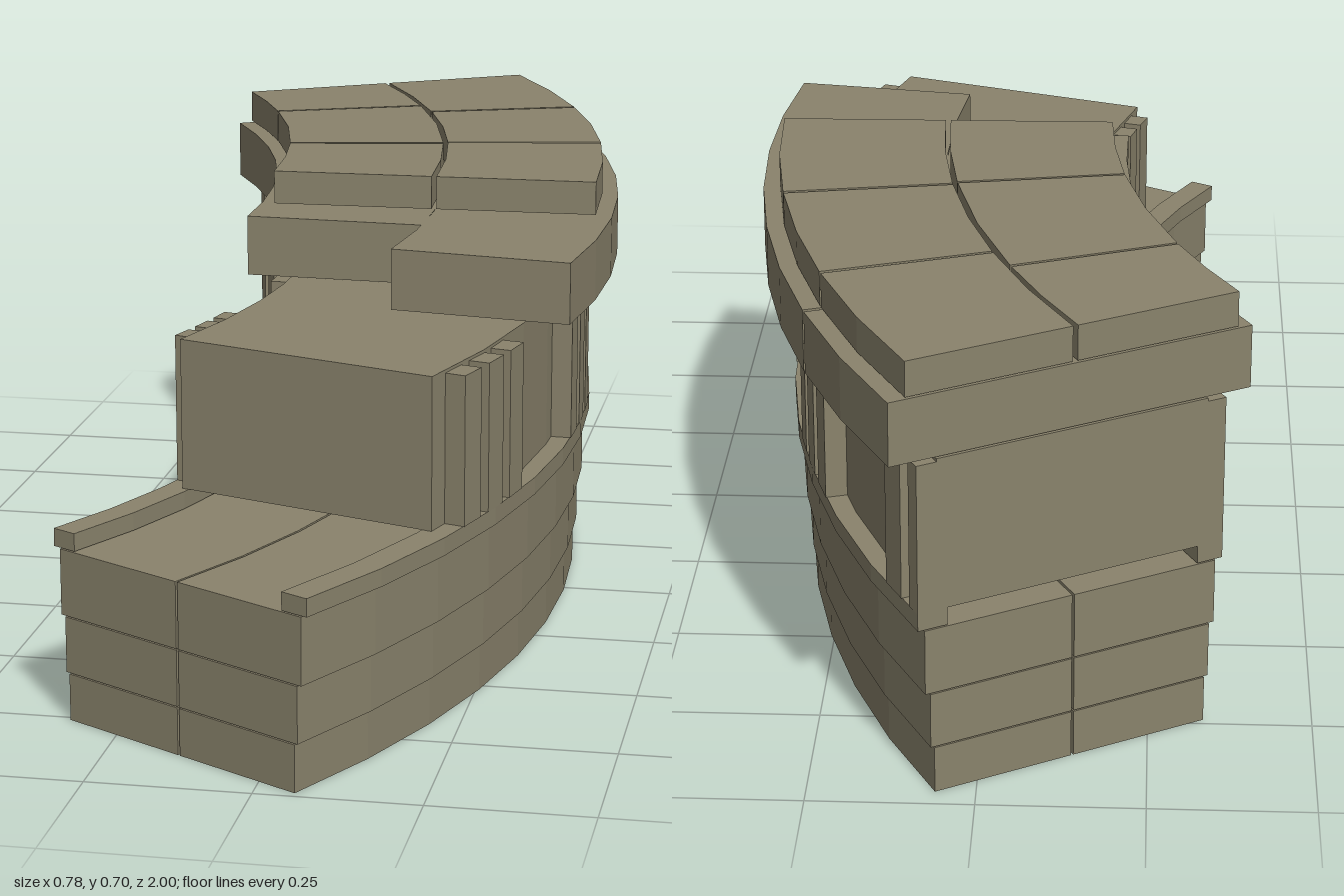
import * as THREE from 'three';

// Centre of curvature of the whole piece
const CX = -1.632, CZ = 0.011;
const SPLIT = 1.726; // radius of the joint between the inner and outer rows
const JOINT = 0.003; // half width of the long joint
const STEP = 5; // degrees per facet
const rad = THREE.MathUtils.degToRad;

const stone = new THREE.MeshStandardMaterial({ color: 0x8a836c, flatShading: true });
stone.name = 'drab stone';

// Curved block between two radii, two angles (degrees, front positive) and two heights
function arcBlock(parent, name, r0, r1, a0, a1, y0, y1) {
  const n = Math.max(1, Math.round((a1 - a0) / STEP));
  const at = (r, a) => new THREE.Vector2(CX + r * Math.cos(rad(a)), -(CZ + r * Math.sin(rad(a))));
  const points = [];
  for (let i = 0; i <= n; i++) points.push(at(r1, a0 + ((a1 - a0) * i) / n));
  for (let i = n; i >= 0; i--) points.push(at(r0, a0 + ((a1 - a0) * i) / n));
  const geometry = new THREE.ExtrudeGeometry(new THREE.Shape(points), { depth: y1 - y0, bevelEnabled: false });
  geometry.rotateX(-Math.PI / 2).translate(0, y0, 0);
  const mesh = new THREE.Mesh(geometry, stone);
  mesh.name = name;
  parent.add(mesh);
}

function part(root, name) {
  const group = new THREE.Group();
  group.name = name;
  root.add(group);
  return group;
}

export function createModel() {
  const root = new THREE.Group();
  root.name = 'curvedWallSection';

  // Three base courses, each a little wider than the one below
  const base = part(root, 'baseCourses');
  [
    [1.498, 1.954, 0, 0.074],
    [1.492, 1.96, 0.076, 0.164],
    [1.484, 1.968, 0.166, 0.27],
  ].forEach(([r0, r1, y0, y1]) => {
    arcBlock(base, 'innerCourse', r0, SPLIT - JOINT, -30, 30, y0, y1);
    arcBlock(base, 'outerCourse', SPLIT + JOINT * 0.3, r1, -30, 30, y0, y1);
  });

  // Raised rims along both edges of the base
  const rims = part(root, 'rims');
  arcBlock(rims, 'innerRim', 1.472, 1.515, -30, 30, 0.272, 0.3);
  arcBlock(rims, 'outerRim', 1.931, 1.979, -30, 30, 0.272, 0.3);

  // Main wall, in blocks
  const wall = part(root, 'wall');
  [[-30, -20], [-20, -9], [-9, 9], [9, 19.5]].forEach(([a0, a1]) => {
    arcBlock(wall, 'wallBlock', 1.503, 1.947, a0, a1, 0.3, 0.54);
  });

  // Pilasters in groups of three on both faces, cut off at the back end
  const pilasters = part(root, 'pilasters');
  for (const centre of [15, 0, -15, -30]) {
    for (const offset of [-2.4, 0, 2.4]) {
      const a0 = Math.max(-30, centre + offset - 0.8), a1 = centre + offset + 0.8;
      if (a1 <= -30) continue;
      arcBlock(pilasters, 'outerPilaster', 1.94, 1.979, a0, a1, 0.3, 0.535);
      arcBlock(pilasters, 'innerPilaster', 1.472, 1.51, a0, a1, 0.3, 0.535);
    }
  }

  // Overhanging slabs, the outer row reaching further forward
  const slabs = part(root, 'overhangingSlabs');
  arcBlock(slabs, 'innerSlab', 1.431, SPLIT, -30, 3, 0.543, 0.642);
  arcBlock(slabs, 'outerSlab', SPLIT, 2.022, -19.9, 9, 0.543, 0.642);
  arcBlock(slabs, 'outerSlab', SPLIT, 2.022, -30, -20.1, 0.543, 0.642);

  // Top paving in two rows with staggered joints
  const paving = part(root, 'topPaving');
  const row = (name, r0, r1, joints) => {
    for (let i = 0; i + 1 < joints.length; i++) {
      arcBlock(paving, name, r0, r1, joints[i] + (i ? 0.1 : 0), joints[i + 1] - 0.1, 0.645, 0.7);
    }
  };
  row('innerPaver', 1.455, SPLIT - 0.005, [-30, -22, -10.2, -0.6]);
  row('outerPaver', SPLIT + JOINT, 1.995, [-30, -20, -10.4, -0.6]);

  return root;
}
